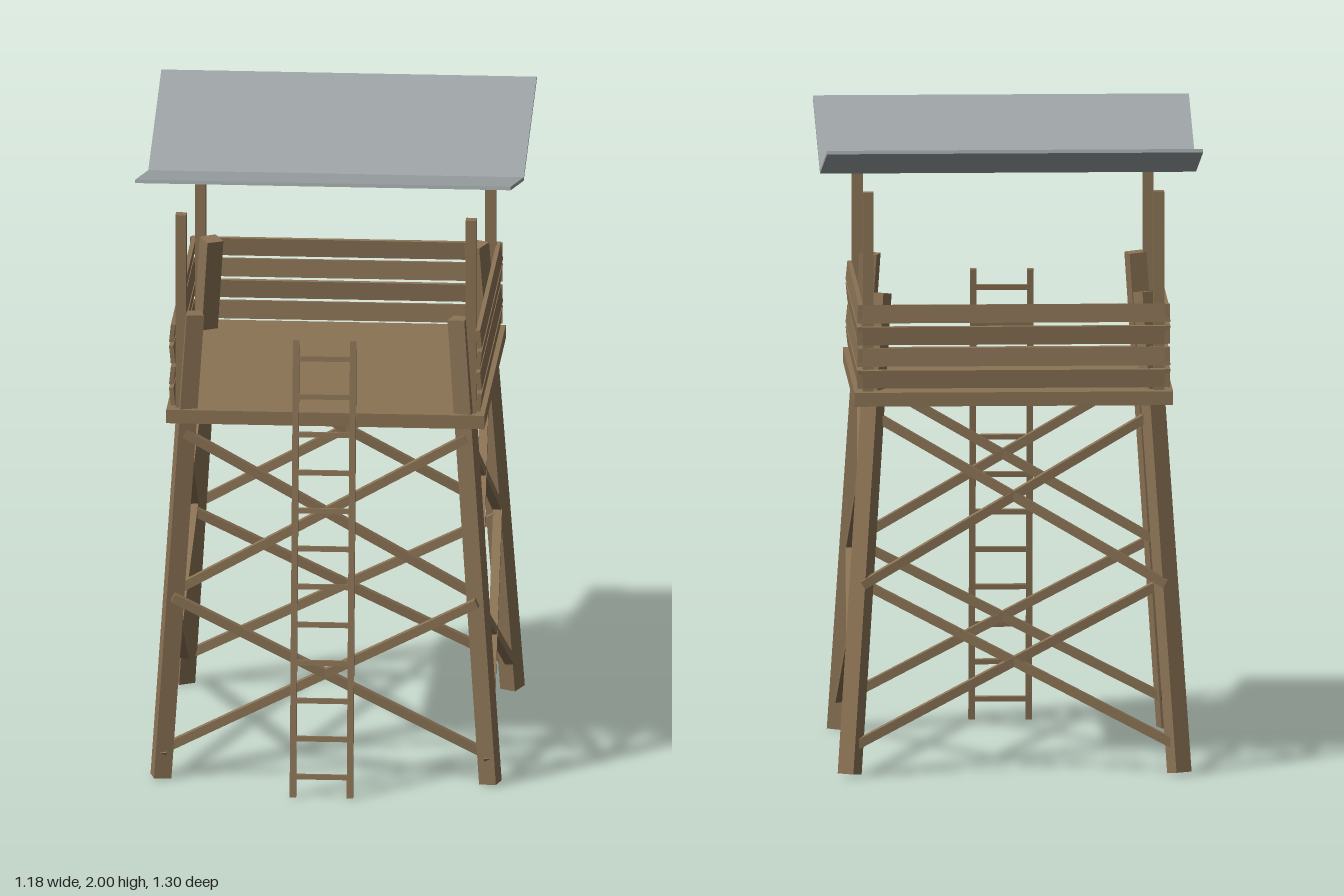
import * as THREE from 'three';

const wood = new THREE.MeshStandardMaterial({ color: 0x8b7355, flatShading: true });
const sheet = new THREE.MeshStandardMaterial({ color: 0x9ea4a6, flatShading: true });

function box(parent, name, size, pos, material = wood) {
  const mesh = new THREE.Mesh(new THREE.BoxGeometry(...size), material);
  mesh.name = name;
  mesh.position.set(...pos);
  parent.add(mesh);
  return mesh;
}

// square bar between two points
function beam(parent, name, a, b, thick) {
  const from = new THREE.Vector3(...a), to = new THREE.Vector3(...b);
  const mid = from.clone().lerp(to, 0.5);
  const mesh = box(parent, name, [thick, thick, from.distanceTo(to)], mid.toArray());
  mesh.lookAt(to);
  return mesh;
}

export function createModel() {
  const model = new THREE.Group();
  model.name = 'watchtower';
  const tower = new THREE.Group();
  tower.name = 'tower';
  tower.position.z = -0.037;
  model.add(tower);

  // half spacing of the leaning legs at height y
  const spread = (y) => 0.52 - (0.102 * y) / 1.52;
  const corners = [[1, 1], [1, -1], [-1, -1], [-1, 1]];
  for (const [sx, sz] of corners) {
    const at = (y) => [sx * spread(y), y, sz * spread(y)];
    beam(tower, 'leg', at(0.003), at(1.515), 0.056);
    box(tower, 'roofPost', [0.034, 0.67, 0.034], [sx * 0.458, 1.508, sz * 0.458]);
  }

  // two tiers of crossed braces on every side
  const levels = [0.09, 0.6, 1.13];
  corners.forEach(([ax, az], i) => {
    const [bx, bz] = corners[(i + 1) % 4];
    const a = (y) => [ax * spread(y), y, az * spread(y)];
    const b = (y) => [bx * spread(y), y, bz * spread(y)];
    for (let t = 0; t < 2; t++) {
      beam(tower, 'crossBrace', a(levels[t]), b(levels[t + 1]), 0.028);
      beam(tower, 'crossBrace', b(levels[t]), a(levels[t + 1]), 0.028);
    }
  });

  box(tower, 'platform', [1.004, 0.044, 1.004], [0, 1.189, 0]);

  // plank walls on the back and both sides, tilted alternately
  for (const angle of [Math.PI / 2, Math.PI, -Math.PI / 2]) {
    const wall = new THREE.Group();
    wall.name = 'plankWall';
    wall.rotation.y = angle;
    tower.add(wall);
    for (let i = 0; i < 4; i++) {
      const plank = box(wall, 'plank', [0.985, 0.058, 0.014], [0, 1.252 + i * 0.069, 0.484]);
      plank.rotation.x = i % 2 ? -0.1 : 0.1;
    }
  }

  // butterfly roof: two sheets rising from a central valley
  const rise = 0.15, run = 0.61;
  for (const s of [1, -1]) {
    const panel = box(tower, 'roofPanel', [1.185, 0.011, Math.hypot(rise, run)],
      [0, 1.842 + rise / 2, s * run / 2], sheet);
    panel.rotation.x = -s * Math.atan2(rise, run);
  }

  // ladder leaning towards the open front
  const ladder = new THREE.Group();
  ladder.name = 'ladder';
  model.add(ladder);
  const ladderZ = (y) => 0.642 - (0.158 * y) / 1.455;
  for (const s of [1, -1]) {
    beam(ladder, 'ladderRail', [s * 0.09, 0, ladderZ(0)], [s * 0.09, 1.455, ladderZ(1.455)], 0.02);
  }
  for (let i = 0; i < 12; i++) {
    const y = 0.065 + i * 0.121;
    const rung = box(ladder, 'rung', [0.18, 0.016, 0.014], [0, y, ladderZ(y)]);
    rung.rotation.x = -0.108;
  }
  return model;
}
